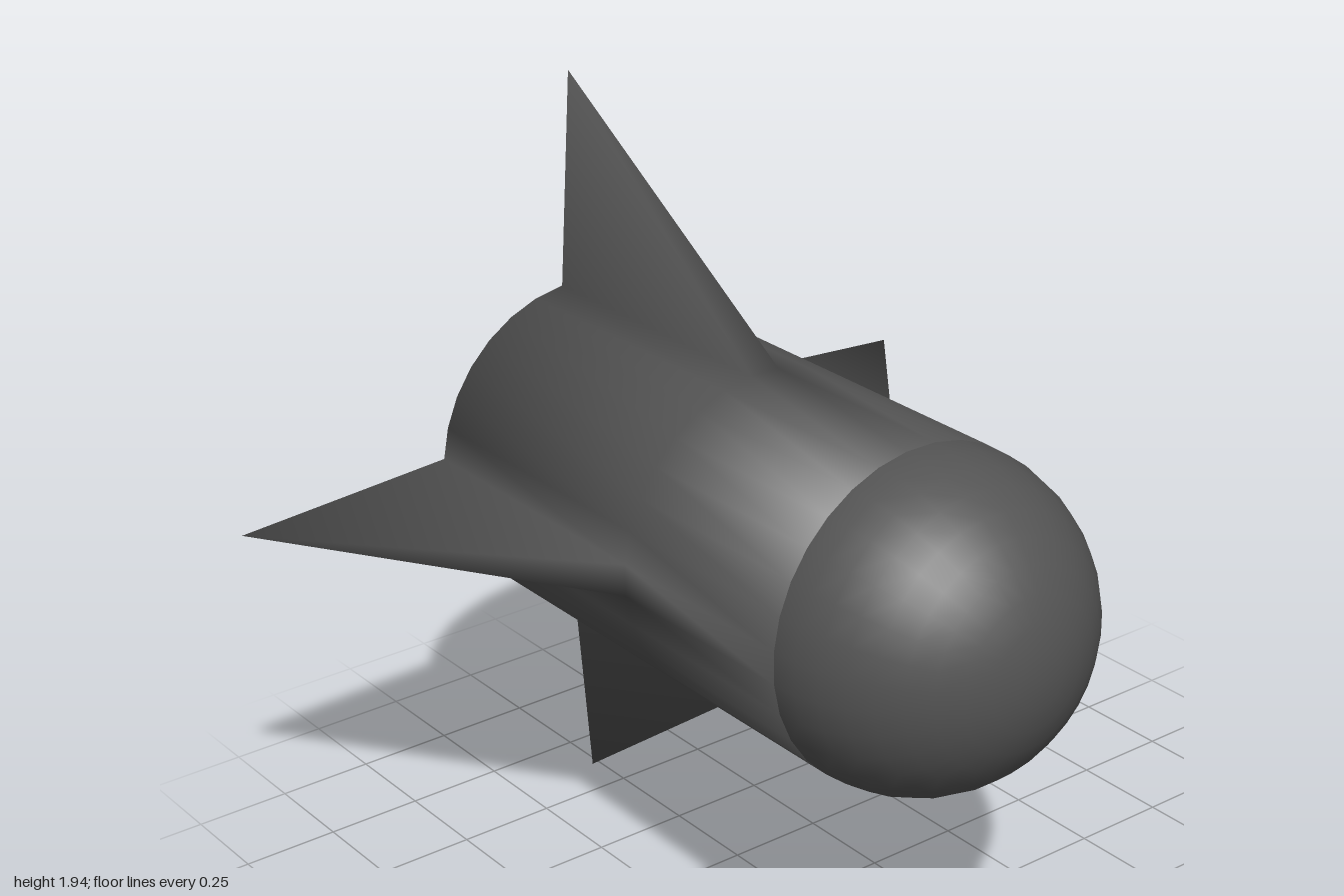
import * as THREE from 'three';

const SIDES = 32, RADIUS = 0.413, TAIL = -0.865, SHOULDER = 0.45, FIN_START = -0.1;
// how far each fin reaches from the axis, keyed by the strip it grows from
const FIN_REACH = { 0: 0.957, 8: 0.98, 16: 0.98, 24: 1.02 }; // top, front, bottom, back

// Barrel and fins as one welded skin, so the shading flows from one into the other
function bodyGeometry() {
  const positions = [], index = [];

  // three rings along x; strip 0 is centred on the top
  for (const x of [TAIL, FIN_START, SHOULDER]) {
    for (let i = 0; i < SIDES; i++) {
      const a = (i - 0.5) * 2 * Math.PI / SIDES;
      positions.push(x, RADIUS * Math.cos(a), RADIUS * Math.sin(a));
    }
  }
  const vertex = (ring, i) => ring * SIDES + i % SIDES;

  for (let ring = 0; ring < 2; ring++) {
    for (let i = 0; i < SIDES; i++) {
      const corners = [vertex(ring, i), vertex(ring, i + 1), vertex(ring + 1, i + 1), vertex(ring + 1, i)];
      if (ring === 0 && i in FIN_REACH) {
        // fin: the strip is drawn out to a single point above the tail edge
        const tip = positions.length / 3, a = i * 2 * Math.PI / SIDES;
        positions.push(TAIL, FIN_REACH[i] * Math.cos(a), FIN_REACH[i] * Math.sin(a));
        corners.forEach((c, k) => index.push(c, corners[(k + 1) % 4], tip));
      } else {
        const [a, b, c, d] = corners;
        index.push(a, b, c, a, c, d);
      }
    }
  }

  // flat ends, fanned from the back of the rim
  for (let k = 1; k < SIDES - 1; k++) {
    index.push(vertex(0, 24), vertex(0, 25 + k), vertex(0, 24 + k));
    index.push(vertex(2, 24), vertex(2, 24 + k), vertex(2, 25 + k));
  }

  const geometry = new THREE.BufferGeometry();
  geometry.setAttribute('position', new THREE.Float32BufferAttribute(positions, 3));
  geometry.setIndex(index);
  geometry.computeVertexNormals();
  return geometry;
}

export function createModel() {
  const model = new THREE.Group();
  model.name = 'finnedRocket';
  // the long axis runs along x
  model.position.set(0, 0.98, 0.02);

  const darkGrey = new THREE.MeshStandardMaterial({ color: 0x545454 });

  const add = (name, geometry) => {
    const mesh = new THREE.Mesh(geometry, darkGrey);
    mesh.name = name;
    model.add(mesh);
  };

  add('bodyWithFins', bodyGeometry());

  // Half-round nose
  const nose = new THREE.SphereGeometry(RADIUS, SIDES, 10, 0, Math.PI * 2, 0, Math.PI / 2);
  nose.rotateY(Math.PI / SIDES).rotateZ(-Math.PI / 2);
  nose.translate(SHOULDER, 0, 0);
  add('nose', nose);

  return model;
}
